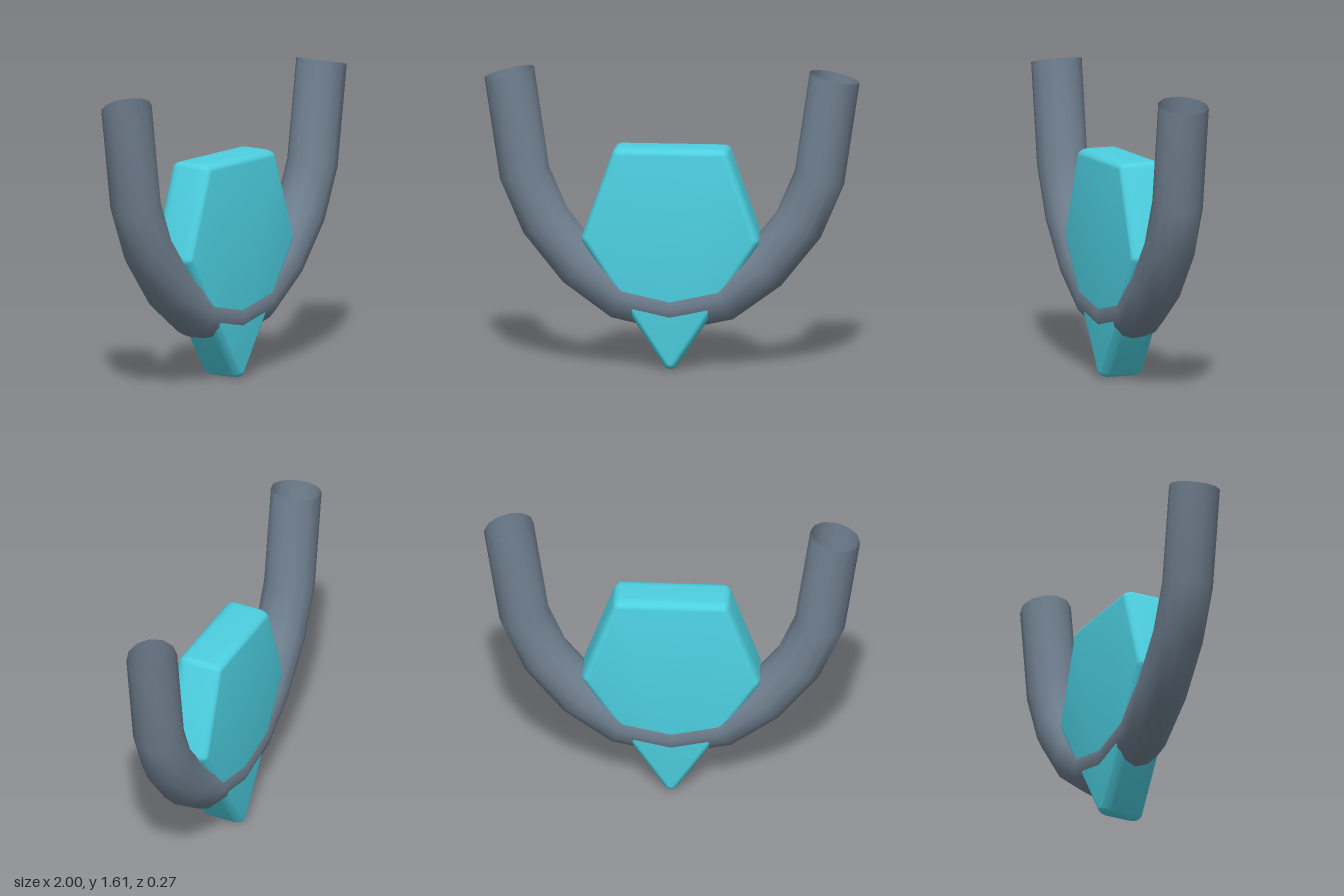
import * as THREE from 'three';
import { mergeVertices, toCreasedNormals } from 'three/addons/utils/BufferGeometryUtils.js';

const deg = THREE.MathUtils.degToRad;

// Open U-shaped tube: one ring per station [x, y, tangent angle in degrees]
function tubeGeometry() {
  const radius = 0.136, sides = 12;
  const half = [[0.27, 0.385, 24], [0.49, 0.547, 43], [0.676, 0.778, 60], [0.787, 1.035, 75], [0.868, 1.575, 77]];
  const stations = [
    ...half.map(([x, y, a]) => [-x, y, -a]).reverse(),
    [0, 0.326, 0],
    ...half,
  ];
  const positions = [], index = [];
  stations.forEach(([x, y, a], i) => {
    const nx = -Math.sin(deg(a)), ny = Math.cos(deg(a));
    for (let j = 0; j < sides; j++) {
      const t = (j / sides) * Math.PI * 2, c = radius * Math.cos(t);
      positions.push(x + nx * c, y + ny * c, radius * Math.sin(t));
      if (i === 0) continue;
      const k = (j + 1) % sides, p = (i - 1) * sides, q = i * sides;
      index.push(p + j, p + k, q + j, p + k, q + k, q + j);
    }
  });
  const g = new THREE.BufferGeometry();
  g.setAttribute('position', new THREE.Float32BufferAttribute(positions, 3));
  g.setIndex(index);
  g.computeVertexNormals();
  return g;
}

// Five-sided gem with rounded corners and a soft bevel all round
function gemGeometry() {
  const bevel = 0.035, depth = 0.13, thickness = 0.06;
  const corners = [
    [0, 0.045, -146.7, -33.3],
    [0.43, 0.7, -33.3, 19.8],
    [0.27, 1.145, 19.8, 90],
    [-0.27, 1.145, 90, 160.2],
    [-0.43, 0.7, 160.2, 213.3],
  ];
  const shape = new THREE.Shape();
  for (const [x, y, a, b] of corners) shape.absarc(x, y, 0.01, deg(a), deg(b), false);
  shape.closePath();
  const g = new THREE.ExtrudeGeometry(shape, {
    depth, bevelEnabled: true, bevelSize: bevel, bevelThickness: thickness, bevelSegments: 5, curveSegments: 6,
  });
  g.translate(0, 0, -depth / 2);
  g.deleteAttribute('uv');
  g.deleteAttribute('normal');
  return toCreasedNormals(mergeVertices(g, 1e-5), 0.8);
}

export function createModel() {
  const group = new THREE.Group();

  const tube = new THREE.Mesh(
    tubeGeometry(),
    new THREE.MeshStandardMaterial({ color: 0x708090, side: THREE.DoubleSide }),
  );
  tube.name = 'curvedTube';

  const gem = new THREE.Mesh(gemGeometry(), new THREE.MeshStandardMaterial({ color: 0x4dd0e1 }));
  gem.name = 'gem';

  group.add(tube, gem);
  return group;
}
